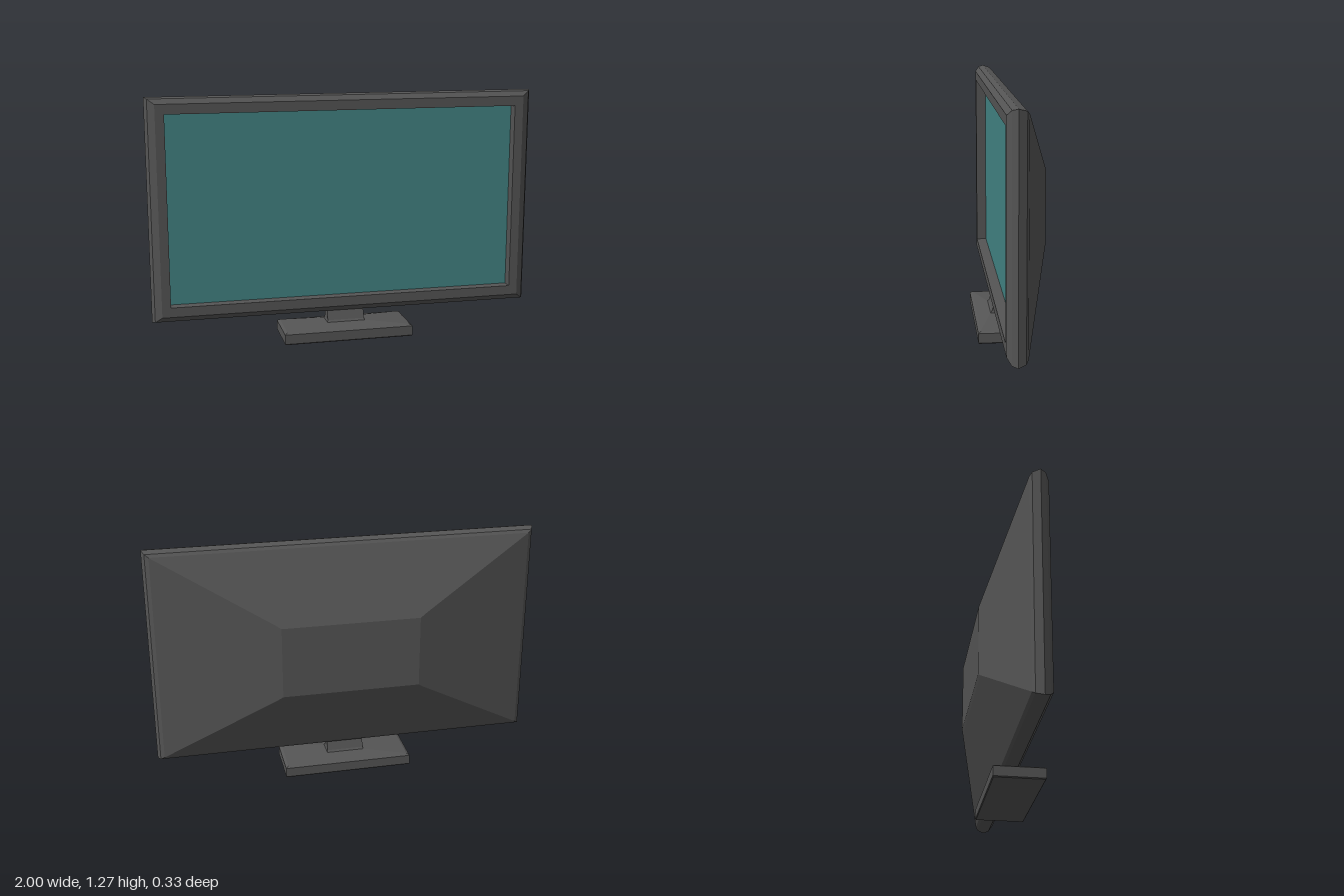
import * as THREE from 'three';

// Lofts rectangles [w, halfWidth, v0, v1], listed from high w to low w, closing the last one
function loftRects(sections) {
  const pos = [];
  const rings = sections.map(([w, h, v0, v1]) => [[-h, v0, w], [h, v0, w], [h, v1, w], [-h, v1, w]]);
  const tri = (a, b, c) => pos.push(...a, ...b, ...c);
  for (let i = 0; i < rings.length - 1; i++) {
    for (let j = 0; j < 4; j++) {
      const k = (j + 1) % 4;
      const a = rings[i][j], b = rings[i][k], c = rings[i + 1][k], d = rings[i + 1][j];
      tri(a, d, b);
      tri(b, d, c);
    }
  }
  const e = rings[rings.length - 1];
  tri(e[0], e[3], e[2]);
  tri(e[0], e[2], e[1]);
  const geo = new THREE.BufferGeometry();
  geo.setAttribute('position', new THREE.Float32BufferAttribute(pos, 3));
  geo.computeVertexNormals();
  return geo;
}

export function createModel() {
  const model = new THREE.Group();
  model.name = 'television';
  const dark = new THREE.MeshStandardMaterial({ color: 0x555555, flatShading: true });
  const teal = new THREE.MeshStandardMaterial({ color: 0x428484 });
  const add = (name, geo, mat) => {
    const mesh = new THREE.Mesh(geo, mat);
    mesh.name = name;
    model.add(mesh);
    return mesh;
  };

  // Casing: recess wall, bezel, bevelled rim, tapered back
  add('casing', loftRects([
    [0.03, 0.905, 0.215, 1.19],
    [0.085, 0.905, 0.215, 1.19],
    [0.085, 0.95, 0.165, 1.24],
    [0.065, 0.985, 0.138, 1.265],
    [0.038, 1.0, 0.13, 1.272],
    [0.0, 0.985, 0.141, 1.261],
    [-0.012, 0.965, 0.155, 1.247],
    [-0.158, 0.385, 0.495, 0.907],
    [-0.166, 0.355, 0.515, 0.887],
  ]), dark);

  // Recessed screen
  const screen = add('screen', new THREE.PlaneGeometry(1.81, 0.975), teal);
  screen.position.set(0, 0.7025, 0.03);

  // Stand: neck and sloped foot, as [height, halfWidth, halfDepth] from the top down
  const stand = [
    [0.16, 0.097, 0.02],
    [0.135, 0.097, 0.025],
    [0.09, 0.097, 0.04],
    [0.08, 0.1, 0.047],
    [0.063, 0.325, 0.115],
    [0.055, 0.339, 0.128],
    [0.005, 0.339, 0.128],
    [0, 0.335, 0.124],
  ];
  const standGeo = loftRects(stand.map(([y, h, d]) => [y, h, -d, d]));
  standGeo.rotateX(-Math.PI / 2);
  add('stand', standGeo, dark).position.z = 0.038;

  return model;
}
